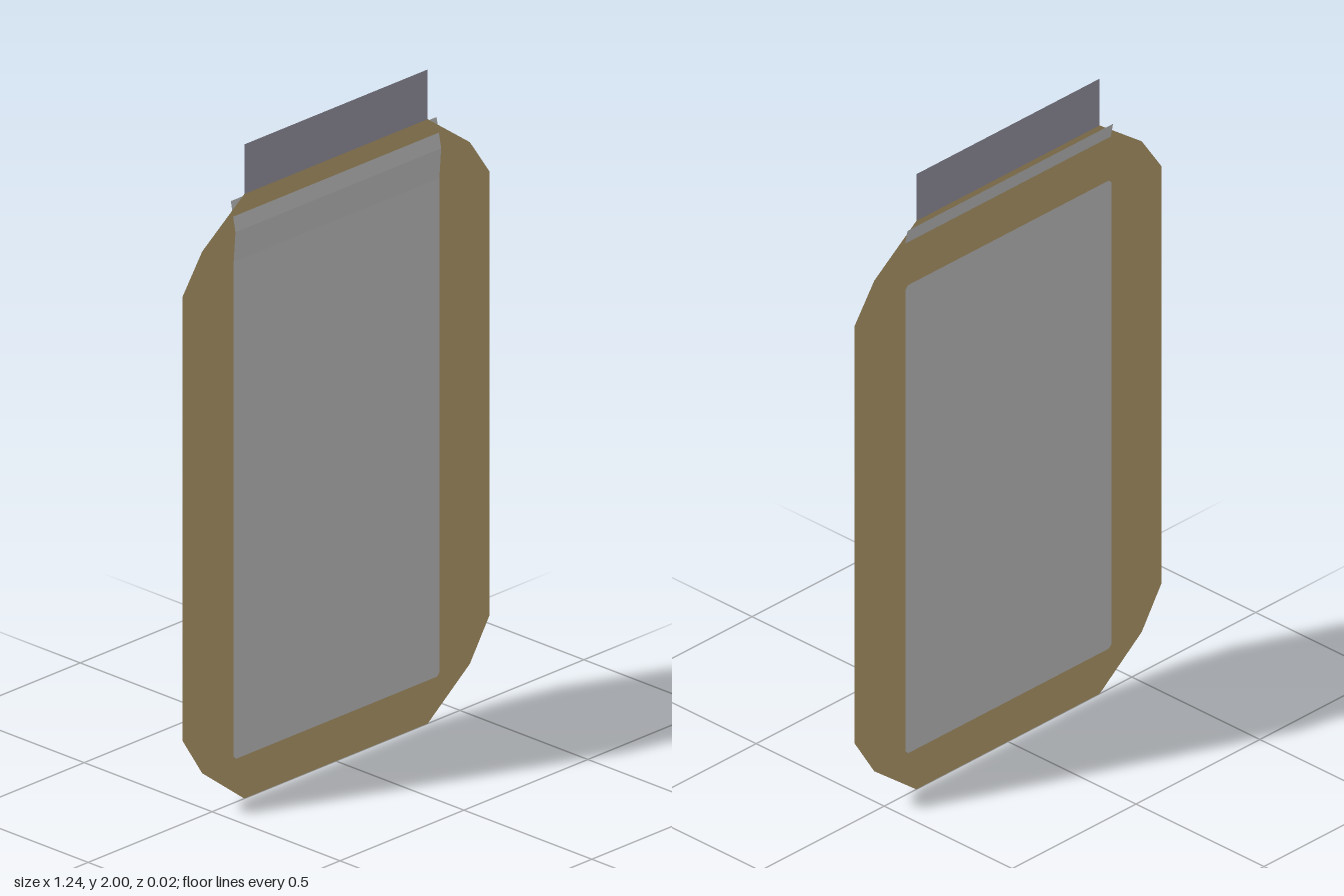
import * as THREE from 'three';

const flat = (name, color) => {
  const m = new THREE.MeshStandardMaterial({ color, side: THREE.DoubleSide, flatShading: true });
  m.name = name;
  return m;
};

// Flat sheet, symmetric in x, from its right-hand outline listed bottom to top
function sheet(name, outline, z, material) {
  const mirrored = outline.map(([x, y]) => [-x, y]).reverse();
  const shape = new THREE.Shape([...outline, ...mirrored].map(([x, y]) => new THREE.Vector2(x, y)));
  const mesh = new THREE.Mesh(new THREE.ShapeGeometry(shape), material);
  mesh.name = name;
  mesh.position.z = z;
  return mesh;
}

export function createModel() {
  const model = new THREE.Group();
  model.name = 'flatPouch';
  const tan = flat('tan', 0xbfa772);
  const grey = flat('light grey', 0xcccccc);
  const mauve = flat('mauve grey', 0x9f9baa);

  // Body with clipped corners, and the tab standing on it
  model.add(sheet('body', [
    [0.37, 0], [0.54, 0.13], [0.62, 0.255], [0.62, 1.61], [0.54, 1.725], [0.37, 1.848],
  ], 0, tan));
  model.add(sheet('topTab', [[0.37, 1.848], [0.37, 2]], 0, mauve));

  // Panels on both faces; the front one runs on into the flap
  const w = 0.415, c = 0.01;
  const foot = [[w - c, 0.133], [w, 0.133 + c]];
  model.add(sheet('frontPanel', [...foot, [w, 1.655]], 0.002, grey));
  model.add(sheet('backPanel', [...foot, [w, 1.655 - c], [w - c, 1.655]], -0.002, grey));

  // Creased flap: leans out, then slopes back through the body
  const profile = [[1.838, -0.009], [1.748, 0.009], [1.655, 0.002]];
  const geometry = new THREE.PlaneGeometry(2 * w, 1, 1, 2);
  const pos = geometry.attributes.position;
  for (let i = 0; i < pos.count; i++) {
    const [y, z] = profile[Math.floor(i / 2)];
    pos.setY(i, y);
    pos.setZ(i, z);
  }
  const flapGeometry = geometry.toNonIndexed();
  flapGeometry.computeVertexNormals();
  const flap = new THREE.Mesh(flapGeometry, grey);
  flap.name = 'creasedFlap';
  model.add(flap);

  return model;
}
